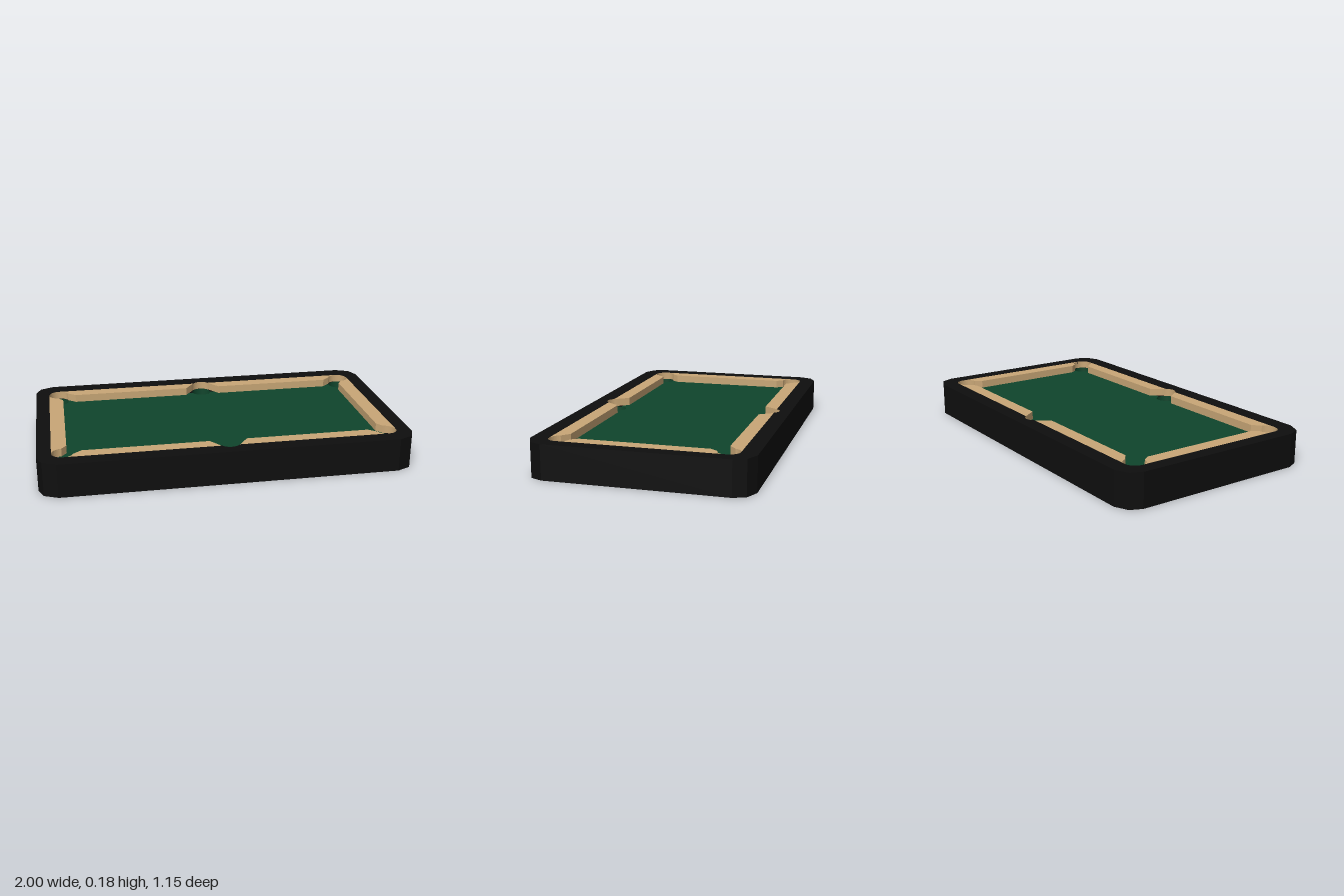
import * as THREE from 'three';

const TOP = 0.183, CLOTH = 0.137;
const R = 0.057;                       // pocket opening radius
const CORNER = [0.868, 0.431], MID = [0, 0.455];
const IN_X = 0.925, IN_Z = 0.488;      // inner edge of the frame

const material = (color, side = THREE.FrontSide) => new THREE.MeshStandardMaterial({ color, side });

// Points along an arc in plan, angles in degrees
function arc([cx, cz], r, from, to, n = 12) {
  return Array.from({ length: n + 1 }, (_, i) => {
    const a = THREE.MathUtils.degToRad(from + (to - from) * i / n);
    return [cx + r * Math.cos(a), cz + r * Math.sin(a)];
  });
}

// Closed plan outline from one quarter that runs from the +x axis to the +z axis
function fourfold(q) {
  const flip = (sx, sz) => q.map(([x, z]) => [x * sx, z * sz]);
  return [...q, ...flip(-1, 1).reverse(), ...flip(-1, -1), ...flip(1, -1).reverse()];
}

const toVectors = (pts) => pts.map(([x, z]) => new THREE.Vector2(x, z));

// Upright slab from a plan outline
function slab(pts, y0, y1, hole) {
  const shape = new THREE.Shape(toVectors(pts));
  if (hole) shape.holes.push(new THREE.Path(toVectors(hole)));
  const geo = new THREE.ExtrudeGeometry(shape, { depth: y1 - y0, bevelEnabled: false });
  return geo.rotateX(-Math.PI / 2).translate(0, y0, 0);
}

export function createModel() {
  const table = new THREE.Group();
  table.name = 'poolTable';
  const black = material(0x0e0e0e);
  const wood = material(0xc8a676);
  const woodThin = material(0xc8a676, THREE.DoubleSide);
  const green = material(0x0f452c, THREE.DoubleSide);

  const add = (name, geo, mat) => {
    const mesh = new THREE.Mesh(geo, mat);
    mesh.name = name;
    table.add(mesh);
    return mesh;
  };

  // Hollow outer frame, recessed round the pockets
  const bump = THREE.MathUtils.radToDeg(Math.asin((IN_Z - MID[1]) / R));
  const outer = fourfold([[1, 0.476], [0.973, 0.54], [0.9, 0.574]]);
  const inner = fourfold([...arc(CORNER, R, 0, 90), ...arc(MID, R, bump, 89.5)]);
  add('frame', slab(outer, 0, TOP, inner), black);

  // Playing cloth with pocket cut-outs along its edge
  const ex = 0.885, ez = 0.445, r = 0.055;
  const deg = THREE.MathUtils.radToDeg;
  const cornerStart = 270 + deg(Math.asin((ex - CORNER[0]) / r));
  const cornerEnd = 180 - deg(Math.asin((ez - CORNER[1]) / r));
  const midStart = deg(Math.asin((ez - MID[1]) / r));
  const clothEdge = fourfold([
    ...arc(CORNER, r, cornerStart, cornerEnd),
    ...arc(MID, r, midStart, -89.5),
  ]);
  const cloth = new THREE.ShapeGeometry(new THREE.Shape(toVectors(clothEdge)));
  add('cloth', cloth.rotateX(-Math.PI / 2).translate(0, CLOTH, 0), green);

  // Cushions: four along the long sides, two across the ends
  const y0 = CLOTH + 0.001, y1 = TOP - 0.002;
  const longCushion = [
    [0.1, 0.412], [0.77, 0.412], ...arc(CORNER, R, 162, 90, 8),
    [0.047, IN_Z], [0.057, 0.472],
  ];
  const endHalf = [[0.845, 0.337], ...arc(CORNER, R, -86, 0, 8)];
  const endCushion = [...endHalf, ...endHalf.map(([x, z]) => [x, -z]).reverse()];
  for (const sx of [1, -1]) {
    const side = sx > 0 ? 'left' : 'right';
    add(side + 'EndCushion', slab(endCushion.map(([x, z]) => [x * sx, z]), y0, y1), wood);
    for (const sz of [1, -1]) {
      const pts = longCushion.map(([x, z]) => [x * sx, z * sz]);
      add(side + (sz > 0 ? 'Front' : 'Back') + 'Cushion', slab(pts, y0, y1), wood);
    }
  }

  // Pockets: open tube below the cloth, wooden liner against the frame above it
  for (const sz of [1, -1]) {
    for (const sx of [1, 0, -1]) {
      const [px, pz] = sx ? CORNER : MID;
      const tube = new THREE.CylinderGeometry(r, r, CLOTH, 24, 1, true);
      add('pocketTube', tube, green).position.set(px * sx, CLOTH / 2, pz * sz);

      const span = sx ? Math.PI / 2 : Math.PI * 0.7;
      const facing = Math.atan2(sx, sz);
      const liner = new THREE.CylinderGeometry(R - 0.0008, R - 0.0008, y1 - CLOTH, 12, 1, true, facing - span / 2, span);
      add('pocketLiner', liner, woodThin).position.set(px * sx, (y1 + CLOTH) / 2, pz * sz);
    }
  }
  return table;
}
